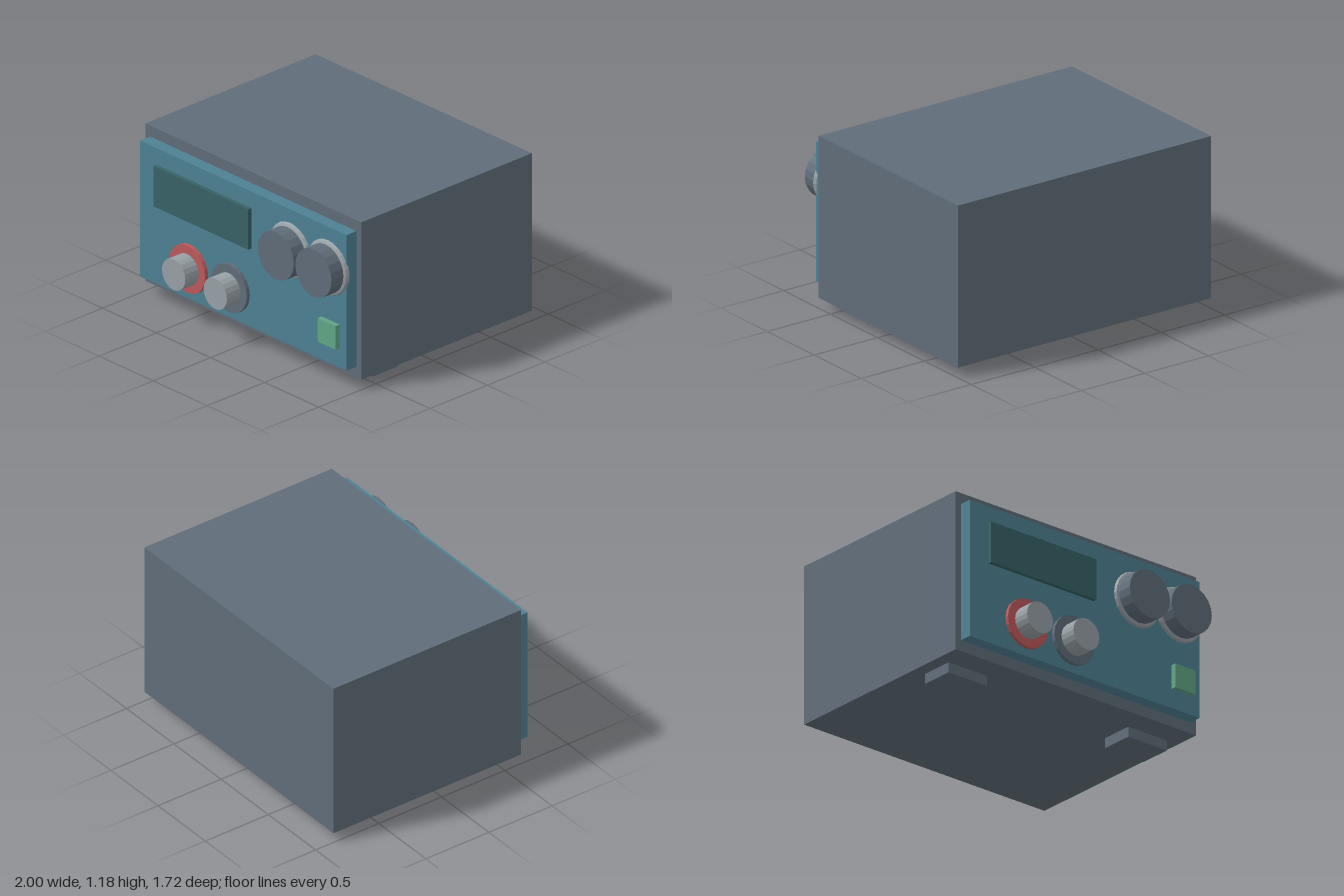
import * as THREE from 'three';

const mat = (name, color) => {
  const m = new THREE.MeshStandardMaterial({ color });
  m.name = name;
  m.flatShading = true;
  return m;
};

export function createModel() {
  const slate = mat('slate', 0x5f6c78);
  const blue = mat('panelBlue', 0x4d8094);
  const teal = mat('screenTeal', 0x376265);
  const grey = mat('lightGrey', 0x98a1a6);
  const red = mat('red', 0xbb595b);
  const green = mat('green', 0x60a585);

  const group = new THREE.Group();
  group.name = 'benchInstrument';

  const add = (name, geometry, material, x, y, z) => {
    const mesh = new THREE.Mesh(geometry, material);
    mesh.name = name;
    mesh.position.set(x, y, z);
    group.add(mesh);
  };
  // Box given by its lower and upper limits
  const box = (name, material, x0, x1, y0, y1, z0, z1) =>
    add(name, new THREE.BoxGeometry(x1 - x0, y1 - y0, z1 - z0), material,
      (x0 + x1) / 2, (y0 + y1) / 2, (z0 + z1) / 2);
  // Disc facing the front, from z0 to z1
  const disc = (name, material, x, y, r, z0, z1) =>
    add(name, new THREE.CylinderGeometry(r, r, z1 - z0, 20).rotateX(Math.PI / 2),
      material, x, y, (z0 + z1) / 2);

  const face = 0.714; // front surface of the panel

  // Case, front panel, display and button
  box('case', slate, -1, 1, 0.07, 1.177, -0.858, 0.627);
  box('frontPanel', blue, -0.955, 0.955, 0.147, 1.1, 0.627, face);
  box('display', teal, -0.802, 0.075, 0.7, 0.983, face, 0.742);
  box('powerButton', green, 0.725, 0.892, 0.283, 0.449, face, 0.749);

  // Two front feet
  for (const s of [-1, 1]) {
    box('foot', slate, s * 0.748 - 0.16, s * 0.748 + 0.16, 0, 0.07, 0.22, 0.45);
  }

  // Terminals with a coloured collar
  [[-0.493, red], [-0.107, slate]].forEach(([x, collar]) => {
    disc('terminalCollar', collar, x, 0.365, 0.167, face, 0.74);
    disc('terminalPost', grey, x, 0.365, 0.108, face, 0.858);
  });

  // Large dials with a rounded ring at the base
  for (const x of [0.435, 0.784]) {
    disc('dial', slate, x, 0.816, 0.167, face, 0.841);
    add('dialRing', new THREE.TorusGeometry(0.167, 0.023, 8, 24), grey, x, 0.816, face);
  }

  return group;
}
